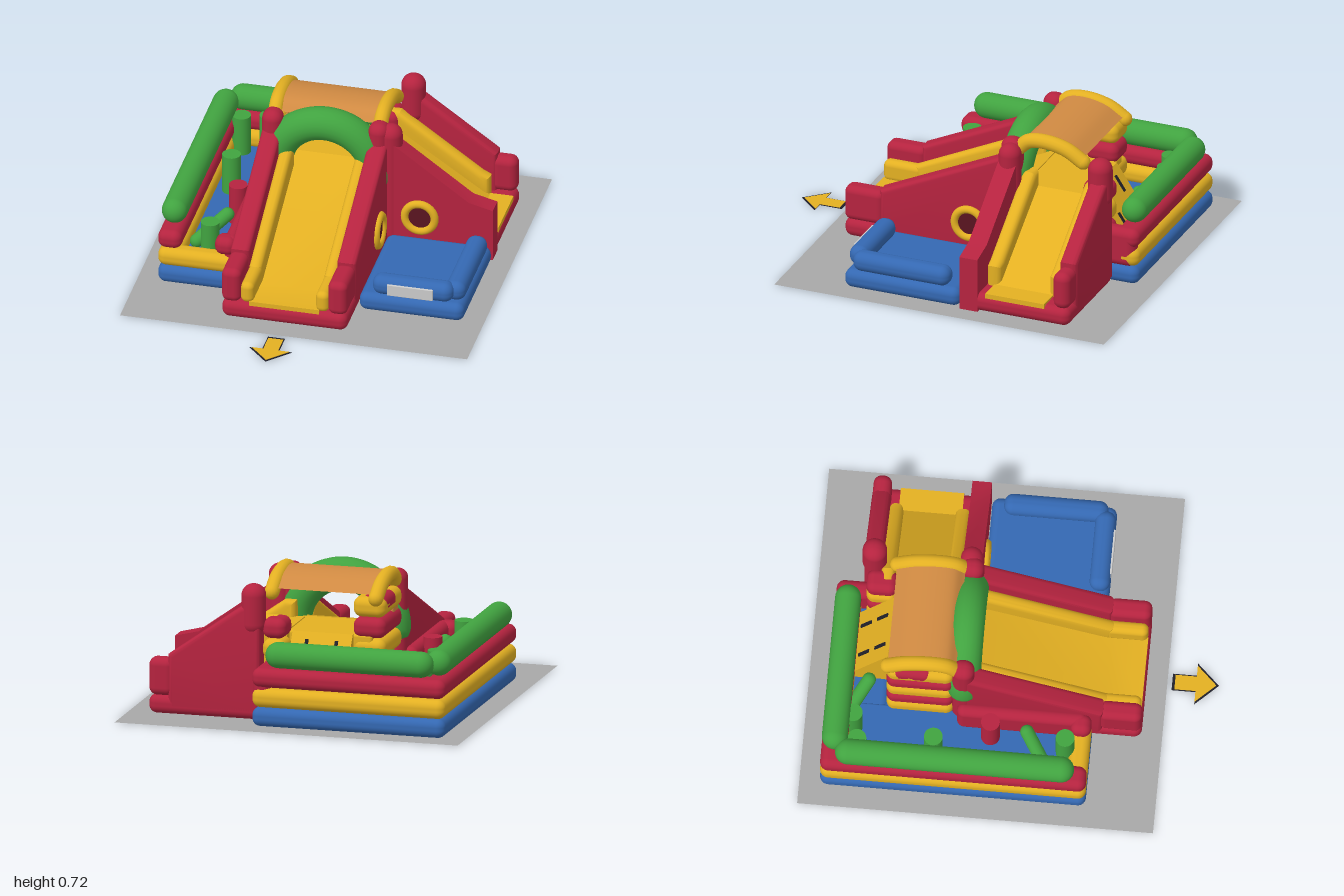
import * as THREE from 'three';
import { RoundedBoxGeometry } from 'three/addons/geometries/RoundedBoxGeometry.js';
import { toCreasedNormals } from 'three/addons/utils/BufferGeometryUtils.js';

const mat = (color, side = THREE.FrontSide) => new THREE.MeshStandardMaterial({ color, side });
const RED = mat(0xb5233f), YELLOW = mat(0xe3b022), BLUE = mat(0x3468b2), GREEN = mat(0x41a340);
const ORANGE = mat(0xd08a42, THREE.DoubleSide), GREY = mat(0xa8a8a8, THREE.DoubleSide);
const DARK = mat(0x20202a), MAROON = mat(0x5a1420), PANEL = mat(0xcccccc);

export function createModel() {
  const model = new THREE.Group();
  const add = (name, geo, material) => {
    const m = new THREE.Mesh(geo, material);
    m.name = name;
    model.add(m);
    return m;
  };

  // Inflated block given by its extents
  const pad = (name, material, x0, x1, y0, y1, z0, z1, r = 0.04) => {
    const w = x1 - x0, h = y1 - y0, d = z1 - z0;
    const geo = new RoundedBoxGeometry(w, h, d, 5, Math.min(r, w / 2, h / 2, d / 2));
    return add(name, geo.translate((x0 + x1) / 2, (y0 + y1) / 2, (z0 + z1) / 2), material);
  };

  // Side profile extruded from a to b: along x (points are z,y) or along z (points are x,y)
  const profile = (name, material, axis, pts, a, b, bevel = 0) => {
    const shape = new THREE.Shape(pts.map(p => new THREE.Vector2(...p)));
    const depth = b - a - 2 * bevel;
    let geo = new THREE.ExtrudeGeometry(shape, {
      depth, bevelEnabled: bevel > 0, bevelSize: bevel, bevelThickness: bevel, bevelOffset: -bevel, bevelSegments: 5,
    }).translate(0, 0, -depth / 2);
    if (axis === 'x') geo = geo.rotateY(-Math.PI / 2).translate((a + b) / 2, 0, 0);
    else geo.translate(0, 0, (a + b) / 2);
    return add(name, toCreasedNormals(geo, 0.5), material);
  };

  // Ground sheet and exit arrow
  add('groundSheet', new THREE.PlaneGeometry(1.74, 1.74).rotateX(-Math.PI / 2).translate(0, 0.002, -0.13), GREY);
  const arrow = [[-0.04, 0.77], [-0.04, 0.88], [0.02, 0.88], [-0.08, 0.985], [-0.18, 0.88], [-0.12, 0.88], [-0.12, 0.77]];
  const arrowGeo = (grow) => {
    const s = new THREE.Shape(arrow.map(([x, z]) => new THREE.Vector2(-0.08 + (x + 0.08) * grow, -(0.88 + (z - 0.88) * grow))));
    return new THREE.ExtrudeGeometry(s, { depth: 0.002, bevelEnabled: false }).rotateX(-Math.PI / 2);
  };
  add('arrowOutline', arrowGeo(1.06), DARK);
  add('exitArrow', arrowGeo(0.94).translate(0, 0.002, 0), YELLOW);

  // Bases
  pad('mainSlideBase', RED, -0.39, 0.24, 0, 0.095, -0.3, 0.64);
  pad('sideSlideBase', RED, 0.2, 0.77, 0, 0.095, -0.77, -0.2);
  pad('towerBase', BLUE, -0.4, 0.22, 0, 0.095, -0.62, -0.28);
  pad('playBase', BLUE, -0.77, -0.37, 0, 0.095, -0.9, 0.4);
  pad('rearBase', BLUE, -0.77, 0.21, 0, 0.095, -0.9, -0.6);
  pad('playFloor', BLUE, -0.68, -0.36, 0.05, 0.11, -0.8, 0.34, 0.01);

  // Main slide: bed, rails, sloping walls and end blocks
  profile('mainSlideBed', YELLOW, 'x',
    [[0.63, 0.08], [0.63, 0.105], [0.45, 0.105], [-0.29, 0.43], [-0.29, 0.08]], -0.25, 0.1);
  for (const s of [-1, 1]) {
    const c = -0.075;
    const span = (near, far) => s > 0 ? [c + near, c + far] : [c - far, c - near];
    profile('mainSlideRail', YELLOW, 'x',
      [[0.46, 0.09], [0.46, 0.2], [-0.2, 0.51], [-0.24, 0.51], [-0.24, 0.09]], ...span(0.155, 0.222), 0.03);
    const [r0, r1] = span(0.155, 0.222);
    pad('mainSlideRailEnd', YELLOW, r0, r1, 0.09, 0.2, 0.42, 0.63, 0.03);
    const [w0, w1] = span(0.218, 0.315);
    profile('mainSlideWall', RED, 'x',
      [[0.45, 0.02], [0.45, 0.28], [-0.25, 0.605], [-0.25, 0.02]], w0, w1, 0.025);
    pad('mainSlideEndBlock', RED, w0, w1, 0.09, 0.27, 0.43, 0.64, 0.035);
    pad('archPost', RED, w0 - 0.003, w1 + 0.003, 0.0, 0.68, -0.29, -0.18, 0.048);
  }
  const arch = add('entryArch', new THREE.TorusGeometry(0.25, 0.083, 20, 40, Math.PI), GREEN);
  arch.position.set(-0.075, 0.385, -0.235);
  for (const x of [-0.325, 0.175]) {
    const foot = add('archFoot', new THREE.SphereGeometry(0.083, 20, 12), GREEN);
    foot.position.set(x, 0.385, -0.235);
  }

  // Side slide running towards +x
  profile('sideSlideBed', YELLOW, 'z',
    [[0.765, 0.08], [0.765, 0.105], [0.65, 0.105], [0.17, 0.43], [0.1, 0.43], [0.1, 0.08]], -0.64, -0.33);
  for (const [z0, z1] of [[-0.685, -0.615], [-0.36, -0.285]])
    profile('sideSlideRail', YELLOW, 'z',
      [[0.65, 0.09], [0.65, 0.2], [0.61, 0.22], [0.2, 0.51], [0.14, 0.51], [0.14, 0.09]], z0, z1, 0.03);
  profile('sideSlideFrontWall', RED, 'z',
    [[0.24, 0], [0.77, 0], [0.77, 0.28], [0.65, 0.31], [0.305, 0.56], [0.24, 0.6]], -0.29, -0.195);
  profile('sideSlideBackWall', RED, 'z',
    [[0.2, 0.02], [0.67, 0.02], [0.67, 0.3], [0.305, 0.56], [0.2, 0.6]], -0.77, -0.68, 0.025);
  pad('sideSlideEndBlock', RED, 0.64, 0.77, 0.09, 0.28, -0.77, -0.68);
  pad('sideSlideFrontPost', RED, 0.19, 0.305, 0.02, 0.67, -0.3, -0.19, 0.055);
  pad('sideSlideBackPost', RED, 0.185, 0.305, 0.42, 0.675, -0.78, -0.66, 0.058);

  // Tower: platform, stacked side wall and rear corner columns
  pad('towerPlatform', YELLOW, -0.32, 0.18, 0.08, 0.425, -0.6, -0.27, 0.015);
  for (let i = 0; i < 5; i++) {
    const y = 0.095 + i * 0.104, m = i % 2 ? RED : YELLOW;
    pad('towerWallLayer', m, -0.385, -0.3, y, y + 0.1, -0.6, -0.28);
    pad('rearColumnLayer', m, -0.385, -0.22, y, y + 0.1, -0.61, -0.44);
    if (i < 4) pad('rearColumnLayer', m, 0.08, 0.2, y, y + 0.1, -0.75, -0.6);
  }
  pad('towerTopLayer', RED, -0.385, -0.25, 0.515, 0.615, -0.59, -0.38);
  pad('towerDoor', ORANGE, -0.37, -0.295, 0.42, 0.59, -0.4, -0.31, 0.01);

  // Climbing ramp with hand slots
  profile('climbingRamp', YELLOW, 'x', [[-0.58, 0.08], [-0.58, 0.425], [-0.61, 0.425], [-0.78, 0.17], [-0.78, 0.08]], -0.225, 0.08);
  for (const x of [-0.15, 0]) for (const t of [0.25, 0.72]) {
    const slot = add('handSlot', new THREE.BoxGeometry(0.016, 0.09, 0.012), DARK);
    slot.position.set(x, 0.17 + 0.255 * t, -0.78 + 0.17 * t);
    slot.rotation.x = Math.atan2(0.17, 0.255);
  }

  // Curved canopy between two bows
  const bow = new THREE.CatmullRomCurve3([[0.63, -0.27], [0.672, -0.32], [0.683, -0.41], [0.66, -0.52], [0.61, -0.605]]
    .map(([y, z]) => new THREE.Vector3(0, y, z)));
  for (const x of [-0.34, 0.187]) {
    const tube = add('canopyBow', new THREE.TubeGeometry(bow, 32, 0.037, 14), YELLOW);
    tube.position.x = x;
    for (const t of [0, 1]) {
      const cap = add('canopyBowCap', new THREE.SphereGeometry(0.037, 14, 10), YELLOW);
      cap.position.copy(bow.getPoint(t)).setX(x);
    }
  }
  const canopy = new THREE.PlaneGeometry(0.53, 1, 1, 32);
  const pos = canopy.attributes.position;
  for (let i = 0; i < pos.count; i++) {
    const p = bow.getPoint(pos.getY(i) + 0.5);
    pos.setXYZ(i, pos.getX(i) - 0.075, p.y + 0.02, p.z);
  }
  canopy.computeVertexNormals();
  add('canopy', canopy, ORANGE);

  // Play yard walls: stacked layers topped by green rolls
  [[YELLOW, 0.095], [RED, 0.195]].forEach(([m, y]) => {
    pad('yardSideWall', m, -0.77, -0.65, y, y + 0.095, -0.9, 0.4);
    pad('yardBackWall', m, -0.77, 0.21, y, y + 0.095, -0.9, -0.775);
  });
  pad('yardSideRoll', GREEN, -0.772, -0.645, 0.29, 0.418, -0.83, 0.34, 0.0635);
  pad('yardBackRoll', GREEN, -0.7, 0.15, 0.29, 0.418, -0.9, -0.773, 0.0635);
  pad('yardFrontSill', YELLOW, -0.77, -0.38, 0.095, 0.19, 0.3, 0.4);
  pad('yardFrontBlock', RED, -0.485, -0.38, 0.195, 0.29, 0.3, 0.4);
  pad('yardInnerWall', RED, -0.445, -0.37, 0.09, 0.29, -0.26, 0.38);
  pad('yardRearCorner', RED, 0.12, 0.21, 0.09, 0.29, -0.88, -0.7);

  // Obstacles in the yard
  for (const [x, z, m] of [[-0.62, -0.73, GREEN], [-0.49, -0.76, GREEN], [-0.58, -0.36, GREEN], [-0.53, 0.28, GREEN], [-0.48, -0.09, RED]]) {
    const post = add('obstaclePost', new THREE.CylinderGeometry(0.046, 0.046, 0.22, 24), m);
    post.position.set(x, 0.205, z);
  }
  for (const [x0, z0, x1, z1] of [[-0.62, 0.19, -0.49, 0.09], [-0.4, -0.78, -0.29, -0.7]]) {
    const path = new THREE.LineCurve3(new THREE.Vector3(x0, 0.14, z0), new THREE.Vector3(x1, 0.25, z1));
    add('obstacleLog', new THREE.TubeGeometry(path, 1, 0.034, 16), GREEN);
    for (const t of [0, 1]) add('obstacleLogCap', new THREE.SphereGeometry(0.034, 16, 10), GREEN).position.copy(path.getPoint(t));
  }

  // Landing pool with two rolls and a front panel
  pad('poolBase', BLUE, 0.245, 0.77, 0, 0.095, -0.19, 0.42);
  pad('poolSideRoll', BLUE, 0.665, 0.767, 0.09, 0.19, -0.13, 0.38, 0.045);
  pad('poolFrontRoll', BLUE, 0.31, 0.715, 0.095, 0.195, 0.32, 0.42, 0.045);
  pad('poolPanel', PANEL, 0.39, 0.62, 0.11, 0.17, 0.41, 0.425, 0.003);

  // Round windows facing the pool
  for (const [x, z, turn] of [[0.405, -0.19, 0], [0.243, -0.025, Math.PI / 2]]) {
    const win = new THREE.Group();
    win.name = 'roundWindow';
    const ring = new THREE.Mesh(new THREE.TorusGeometry(0.075, 0.02, 14, 32), YELLOW);
    const hole = new THREE.Mesh(new THREE.CircleGeometry(0.07, 32), MAROON);
    ring.name = 'windowRing';
    hole.name = 'windowOpening';
    hole.position.z = 0.003;
    win.add(ring, hole);
    win.position.set(x, 0.195, z);
    win.rotation.y = turn;
    model.add(win);
  }
  return model;
}
